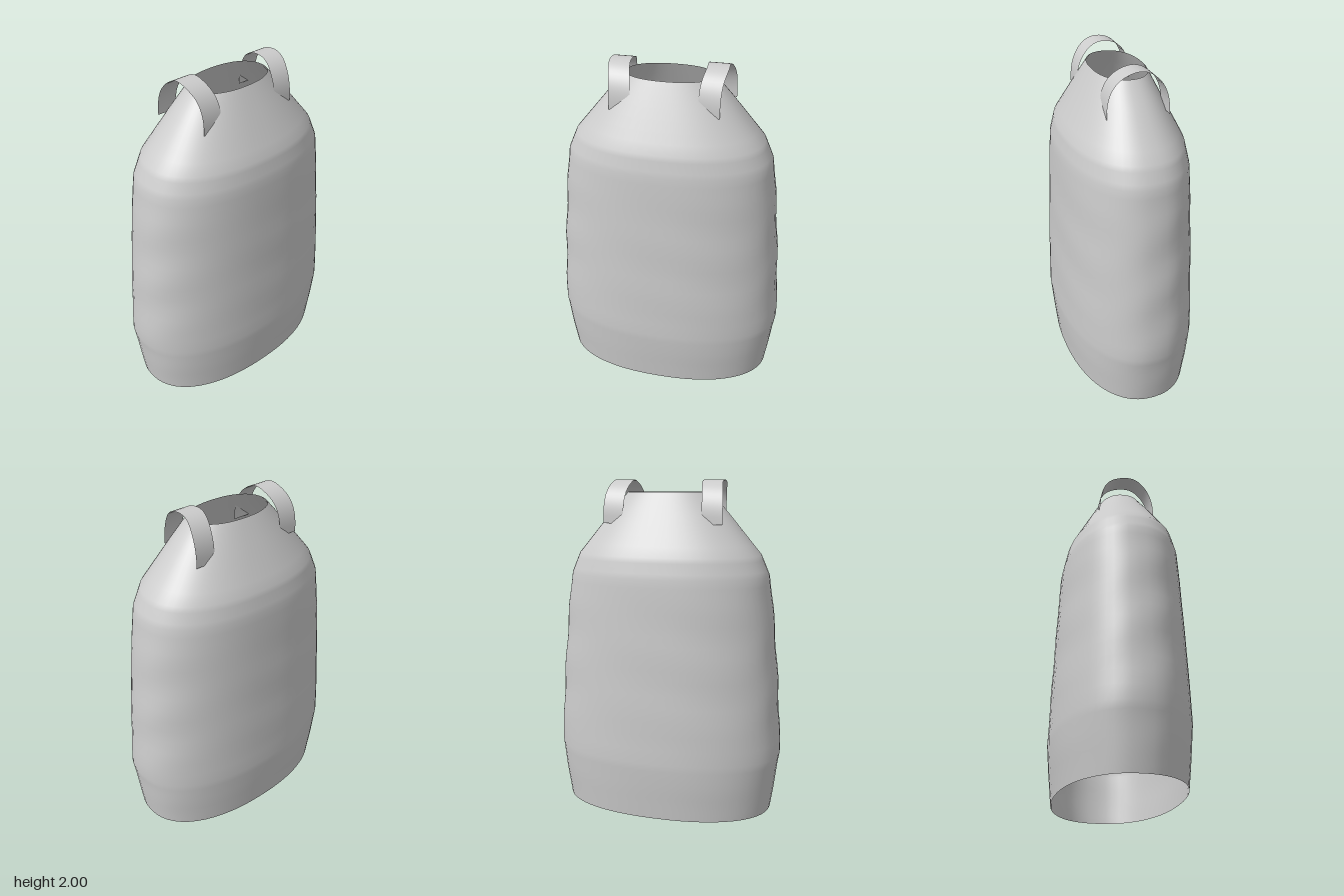
import * as THREE from 'three';

const material = new THREE.MeshStandardMaterial({ color: 0xcccccc, side: THREE.DoubleSide });

// Builds a surface from rows of points; closed rows wrap round without a seam.
function loft(name, rows, closed) {
  const n = rows[0].length, index = [];
  for (let j = 0; j < rows.length - 1; j++) {
    for (let i = 0; i < (closed ? n : n - 1); i++) {
      const k = (i + 1) % n;
      const a = j * n + i, b = j * n + k, c = a + n, d = b + n;
      index.push(a, c, b, b, c, d);
    }
  }
  const geometry = new THREE.BufferGeometry();
  geometry.setAttribute('position', new THREE.Float32BufferAttribute(rows.flat(2), 3));
  geometry.setIndex(index);
  geometry.computeVertexNormals();
  const mesh = new THREE.Mesh(geometry, material);
  mesh.name = name;
  return mesh;
}

// Cross-sections of the garment: height, half width, half depth
const sections = [
  [0, 0.655, 0.365], [0.18, 0.68, 0.383], [0.36, 0.705, 0.396], [0.7, 0.685, 0.386],
  [1.0, 0.66, 0.374], [1.25, 0.635, 0.364], [1.45, 0.608, 0.354], [1.57, 0.555, 0.33],
  [1.8, 0.365, 0.215], [1.93, 0.25, 0.15],
];

// Rounded oval ring with faint cloth folds that fade out at hem and neck
function ring(y, a, b) {
  const points = [], power = 2 / 2.25, sides = 56;
  const fade = Math.max(0, Math.sin(Math.PI * Math.min(1, y / 1.6)));
  for (let i = 0; i < sides; i++) {
    const t = (i / sides) * Math.PI * 2;
    const c = Math.cos(t), s = Math.sin(t);
    const fold = 1 + 0.007 * fade * Math.sin(y * 17 + 1.5 * Math.sin(2 * t)) * Math.cos(2 * t + 0.6);
    points.push([
      fold * a * Math.sign(c) * Math.abs(c) ** power,
      y,
      fold * b * Math.sign(s) * Math.abs(s) ** power,
    ]);
  }
  return points;
}

function createBody() {
  const rows = [], steps = 4;
  for (let j = 0; j < sections.length - 1; j++) {
    for (let k = 0; k < steps; k++) {
      rows.push(ring(...sections[j].map((v, m) => THREE.MathUtils.lerp(v, sections[j + 1][m], k / steps))));
    }
  }
  rows.push(ring(...sections[sections.length - 1]));
  return loft('clothBody', rows, true);
}

// Flat band arching from back to front over the shoulder
function createStrap(side) {
  const rows = [], steps = 28;
  for (let j = 0; j <= steps; j++) {
    const t = (j / steps) * Math.PI;
    const z = -0.172 * Math.cos(t);
    const y = 1.75 + 0.25 * Math.max(0, Math.sin(t)) ** 0.8;
    const centre = 0.274 - 0.09 * z + 0.006 * Math.sin(z * 28);
    const row = [-1, 0, 1].map((w) => [side * centre + w * 0.061, y, z]);
    rows.push(row);
  }
  return loft(side > 0 ? 'leftStrap' : 'rightStrap', rows.reverse(), false);
}

export function createModel() {
  const model = new THREE.Group();
  model.name = 'sleevelessGarment';
  model.add(createBody(), createStrap(1), createStrap(-1));
  return model;
}
